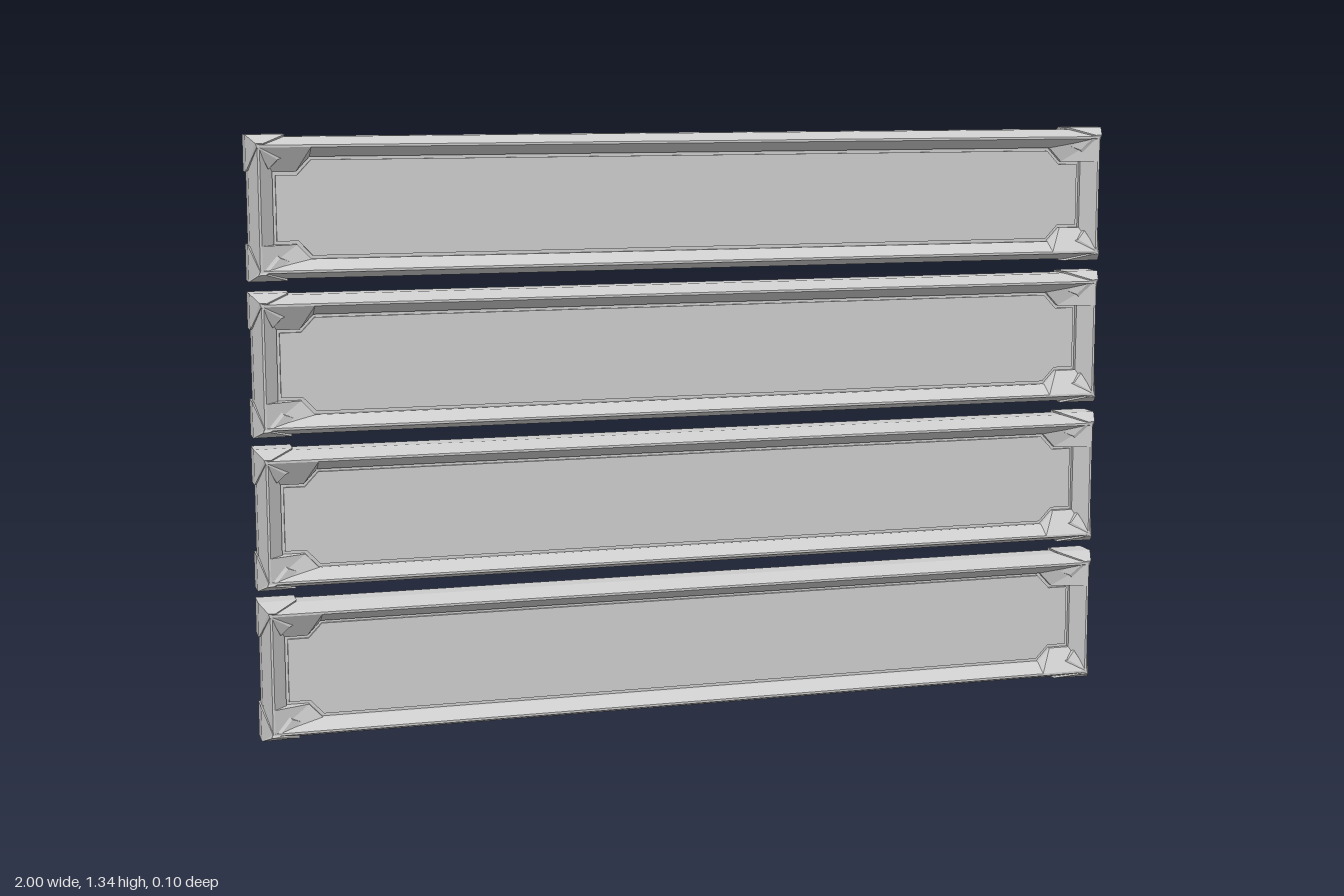
import * as THREE from 'three';

const material = new THREE.MeshStandardMaterial({ color: 0xcccccc, flatShading: true });
const HALF = 0.1575, PITCH = 0.34;

// Skin a series of equal-length point loops with flat faces
function loft(name, loops, closed = false) {
  const pos = [];
  const a = new THREE.Vector3(), b = new THREE.Vector3(), c = new THREE.Vector3();
  const tri = (p, q, r) => {
    a.set(...p); b.set(...q).sub(a); c.set(...r).sub(a);
    if (b.cross(c).length() > 1e-9) pos.push(...p, ...q, ...r);
  };
  const last = closed ? loops.length : loops.length - 1;
  for (let k = 0; k < last; k++) {
    const u = loops[k], v = loops[(k + 1) % loops.length];
    u.forEach((p, i) => {
      const j = (i + 1) % u.length;
      tri(p, u[j], v[j]);
      tri(p, v[j], v[i]);
    });
  }
  const geo = new THREE.BufferGeometry();
  geo.setAttribute('position', new THREE.Float32BufferAttribute(pos, 3));
  geo.computeVertexNormals();
  const mesh = new THREE.Mesh(geo, material);
  mesh.name = name;
  return mesh;
}

// Mirror one corner's points into a full counter-clockwise loop at depth z
function fourCorners(quarter, z) {
  const out = [];
  for (const [sx, sy] of [[1, 1], [-1, 1], [-1, -1], [1, -1]]) {
    const pts = quarter.map(([x, y]) => [x * sx, y * sy, z]);
    out.push(...(sx * sy < 0 ? pts.reverse() : pts));
  }
  return out;
}

// Rectangle inset from the overall size
const rect = (inset, z) => fourCorners(
  [[1 - inset, 0.078], [1 - inset, HALF - inset], [0.865, HALF - inset]], z);
// Opening with a gusset notch in every corner
const notched = (inset, z) => fourCorners(
  [[0.945 - inset, 0.078 - inset], [0.895 - inset * 0.5, 0.078 - inset], [0.865 - inset * 0.5, 0.11 - inset]], z);
const centre = (count, x, y, z) => Array.from({ length: count }, () => [x, y, z]);

// Faceted cap wrapped around one corner of the frame
function cornerCap(sx, sy) {
  const H = HALF;
  let sections = [
    // end on the long rail
    [[0.9, 0.118, -0.048], [0.915, H, -0.048], [0.915, H, 0.002], [0.968, H - 0.018, 0.05], [0.91, 0.115, 0.027]],
    // outer corner
    [[0.925, 0.095, -0.048], [1, H, -0.048], [1, H, 0.008], [0.983, H - 0.017, 0.05], [0.935, 0.105, 0.036]],
    // end on the short rail
    [[0.95, 0.078, -0.048], [1, 0.078, -0.048], [1, 0.078, 0.004], [0.98, 0.132, 0.05], [0.954, 0.085, 0.029]],
  ].map(s => s.map(([x, y, z]) => [x * sx, y * sy, z]));
  if (sx * sy < 0) sections.reverse();
  const mid = s => centre(5, ...[0, 1, 2].map(k => s.reduce((t, p) => t + p[k], 0) / 5));
  sections = [mid(sections[0]), ...sections, mid(sections[2])];
  return loft('cornerCap', sections);
}

function createBoard() {
  const board = new THREE.Group();
  board.name = 'board';
  // Frame: flat back, straight outer edge, bevelled front lip, slope down to the opening
  board.add(loft('frame', [
    notched(0, -0.045), rect(0.005, -0.045), rect(0.005, 0.002),
    rect(0.021, 0.048), rect(0.026, 0.048), notched(0, 0.015),
  ], true));
  // Recessed infill panel with a shallow raised field on both faces
  board.add(loft('panel', [
    centre(12, 0, 0, -0.039), notched(0.007, -0.039), notched(0.007, -0.034), notched(-0.002, -0.034),
    notched(-0.002, 0.005), notched(0.007, 0.005), notched(0.007, 0.011), centre(12, 0, 0, 0.011),
  ]));
  for (const sx of [1, -1]) for (const sy of [1, -1]) board.add(cornerCap(sx, sy));
  return board;
}

export function createModel() {
  const model = new THREE.Group();
  model.name = 'stackedBoards';
  for (let i = 0; i < 4; i++) {
    const board = createBoard();
    board.position.y = HALF + i * PITCH;
    model.add(board);
  }
  return model;
}
